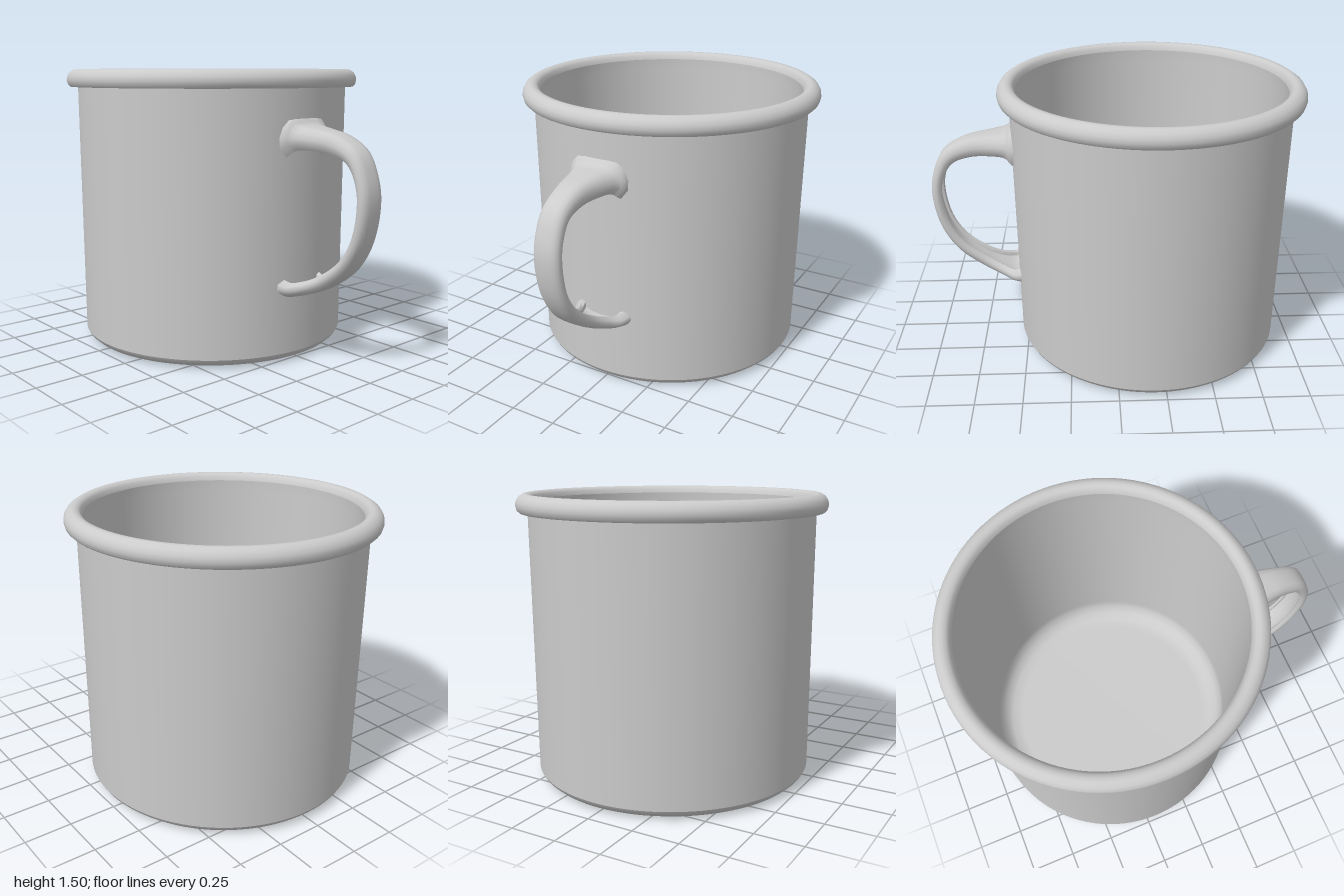
import * as THREE from 'three';
import { toCreasedNormals } from 'three/addons/utils/BufferGeometryUtils.js';

const material = new THREE.MeshStandardMaterial({ color: 0xcccccc });

// Round part from a profile of [radius, height]
function turned(name, profile) {
  const points = profile.map(([r, y]) => new THREE.Vector2(r, y));
  const mesh = new THREE.Mesh(new THREE.LatheGeometry(points, 96), material);
  mesh.name = name;
  return mesh;
}

// Handle stations: outer x, outer y, inner x, inner y, half width
const stations = [
  [0.525, 1.27, 0.525, 1.06, 0.17],
  [0.55, 1.255, 0.55, 1.075, 0.16],
  [0.58, 1.228, 0.58, 1.1, 0.135],
  [0.66, 1.213, 0.66, 1.105, 0.105],
  [0.8, 1.185, 0.77, 1.095, 0.08],
  [0.92, 1.115, 0.87, 1.055, 0.073],
  [0.98, 0.99, 0.925, 0.96, 0.073],
  [0.995, 0.87, 0.938, 0.86, 0.075],
  [0.96, 0.68, 0.908, 0.7, 0.075],
  [0.87, 0.53, 0.835, 0.58, 0.077],
  [0.73, 0.42, 0.705, 0.483, 0.083],
  [0.63, 0.372, 0.615, 0.442, 0.115],
  [0.57, 0.353, 0.565, 0.432, 0.15],
  [0.52, 0.345, 0.52, 0.448, 0.17],
];

// Half section: across (share of half width), depth (share of thickness)
const outerSide = [[0, 0], [0.4, 0.01], [0.7, 0.06], [0.9, 0.25], [1, 0.5], [0.98, 0.75], [0.78, 1]];
const channelSide = [[0.66, 0.9], [0.62, 0.65], [0.4, 0.52], [0, 0.48]];

function handleGeometry() {
  const outer = new THREE.CatmullRomCurve3(stations.map((s) => new THREE.Vector3(s[0], s[1], s[4])));
  const inner = new THREE.CatmullRomCurve3(stations.map((s) => new THREE.Vector3(s[2], s[3], 0)));
  const mirror = (list) => list.map(([a, d]) => [-a, d]).reverse();
  // Closed loop: over the outside, then back through the channel
  const section = [
    ...mirror(outerSide), ...outerSide.slice(1),
    ...channelSide, ...mirror(channelSide).slice(1),
  ];
  const n = section.length;
  const steps = (stations.length - 1) * 5;
  const positions = [];
  const index = [];
  for (let j = 0; j <= steps; j++) {
    const o = outer.getPoint(j / steps);
    const i = inner.getPoint(j / steps);
    for (const [across, depth] of section) {
      positions.push(o.x + (i.x - o.x) * depth, o.y + (i.y - o.y) * depth, across * o.z);
    }
    if (j === steps) break;
    for (let k = 0; k < n; k++) {
      const a = j * n + k;
      const b = j * n + ((k + 1) % n);
      index.push(a, b, a + n, b, b + n, a + n);
    }
  }
  const geometry = new THREE.BufferGeometry();
  geometry.setAttribute('position', new THREE.Float32BufferAttribute(positions, 3));
  geometry.setIndex(index);
  return toCreasedNormals(geometry, 0.8);
}

export function createModel() {
  const model = new THREE.Group();
  model.name = 'mug';

  const cup = new THREE.Group();
  cup.name = 'cup';
  cup.position.x = -0.195;
  cup.add(
    turned('base', [[0, 0], [0.64, 0], [0.675, 0.003], [0.705, 0.014], [0.725, 0.032], [0.735, 0.05]]),
    turned('outerWall', [[0.735, 0.05], [0.746, 1.41]]),
    turned('rimUnderside', [[0.745, 1.406], [0.788, 1.406]]),
    turned('rim', [
      [0.788, 1.406], [0.8, 1.418], [0.806, 1.44], [0.803, 1.462], [0.79, 1.484],
      [0.768, 1.498], [0.75, 1.5], [0.732, 1.495], [0.718, 1.482], [0.711, 1.46],
    ]),
    turned('innerWall', [
      [0.711, 1.46], [0.713, 1.4], [0.703, 0.16], [0.695, 0.11], [0.67, 0.065],
      [0.63, 0.04], [0.57, 0.03], [0, 0.03],
    ]),
  );
  model.add(cup);

  const handle = new THREE.Mesh(handleGeometry(), material);
  handle.name = 'handle';
  model.add(handle);
  return model;
}
